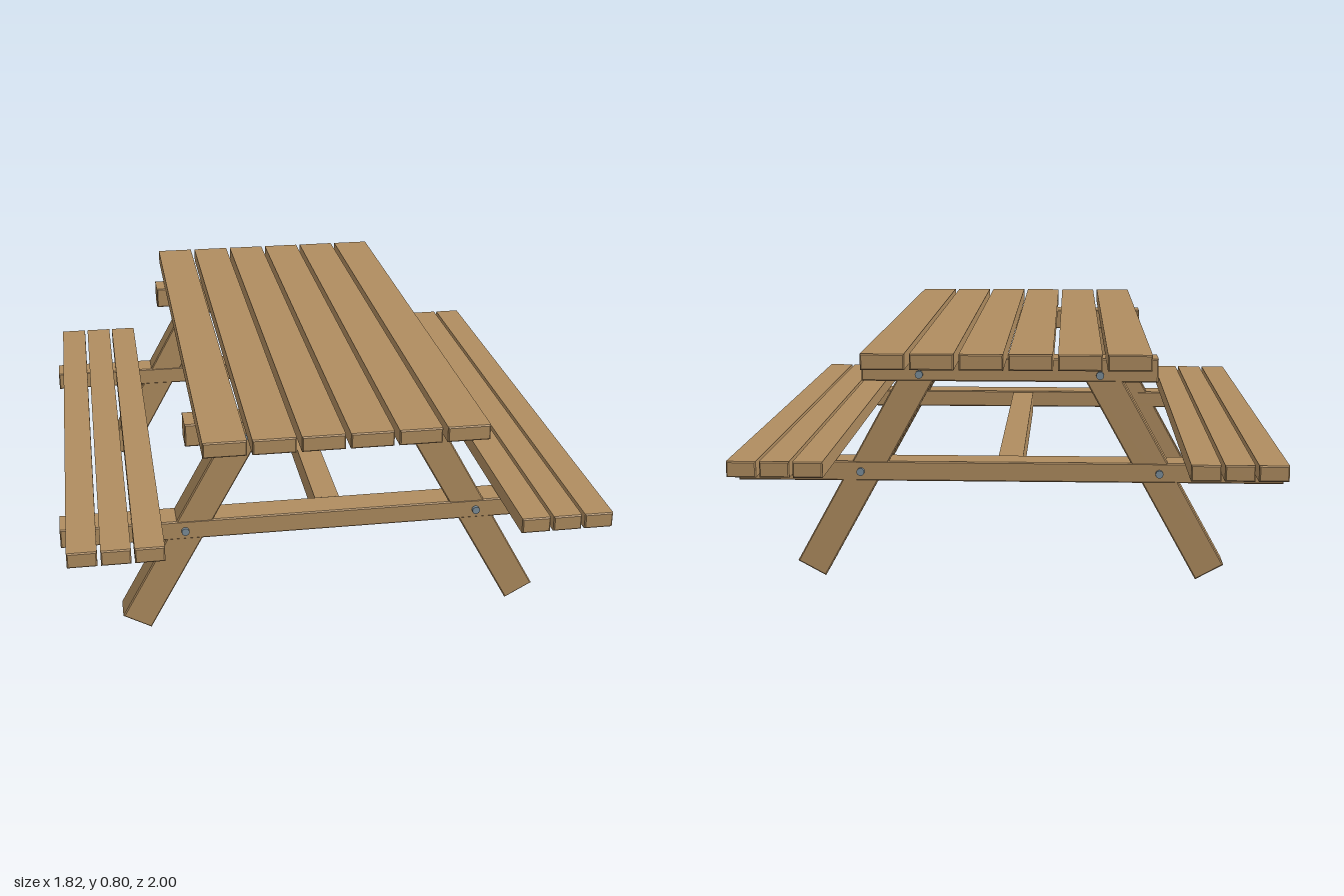
import * as THREE from 'three';

const wood = new THREE.MeshStandardMaterial({ color: 0xb08d60 });
wood.name = 'wood';
const steel = new THREE.MeshStandardMaterial({ color: 0x7d8f9b });
steel.name = 'steel';

// Timber with small chamfers on every edge, centred on its origin
function timber(name, w, h, d, b = 0.004) {
  const x = w / 2 - b, y = h / 2 - b;
  const shape = new THREE.Shape();
  shape.moveTo(-x, -y).lineTo(x, -y).lineTo(x, y).lineTo(-x, y).closePath();
  const geo = new THREE.ExtrudeGeometry(shape, {
    depth: d - 2 * b, bevelEnabled: true, bevelThickness: b, bevelSize: b, bevelSegments: 1,
  });
  geo.translate(0, 0, -d / 2 + b);
  const mesh = new THREE.Mesh(geo, wood);
  mesh.name = name;
  return mesh;
}

export function createModel() {
  const model = new THREE.Group();
  model.name = 'picnicTable';
  const add = (mesh, x, y, z) => {
    mesh.position.set(x, y, z);
    model.add(mesh);
    return mesh;
  };

  // Table top planks
  for (let i = 0; i < 6; i++) {
    add(timber('topPlank', 0.138, 0.051, 2), (i - 2.5) * 0.1542, 0.7755, 0);
  }

  // Bench planks on both sides
  for (const side of [-1, 1]) {
    for (let i = 0; i < 3; i++) {
      add(timber('benchPlank', 0.095, 0.052, 2), side * (0.628 + i * 0.106), 0.429, 0);
    }
  }

  // End frames: two beams, a pair of splayed legs and their bolts
  const tilt = THREE.MathUtils.degToRad(29);
  const legLength = 0.806;
  for (const end of [-1, 1]) {
    const z = end * 0.686;
    add(timber('topBeam', 0.978, 0.078, 0.106), 0, 0.711, z);
    add(timber('benchBeam', 1.82, 0.067, 0.106), 0, 0.3665, z);
    for (const side of [-1, 1]) {
      const leg = add(timber('leg', 0.107, legLength, 0.103),
        side * (0.672 - Math.sin(tilt) * legLength / 2),
        0.026 + Math.cos(tilt) * legLength / 2, z);
      leg.rotation.z = side * tilt;
      for (const [x, y] of [[0.298, 0.695], [0.498, 0.365]]) {
        const bolt = new THREE.Mesh(new THREE.CylinderGeometry(0.013, 0.013, 0.03, 16), steel);
        bolt.name = 'bolt';
        bolt.rotation.x = Math.PI / 2;
        add(bolt, side * x, y, end * 0.736);
      }
    }
  }

  // Stretcher joining the two end frames
  add(timber('stretcher', 0.084, 0.08, 1.27, 0.008), 0, 0.355, 0);

  return model;
}
